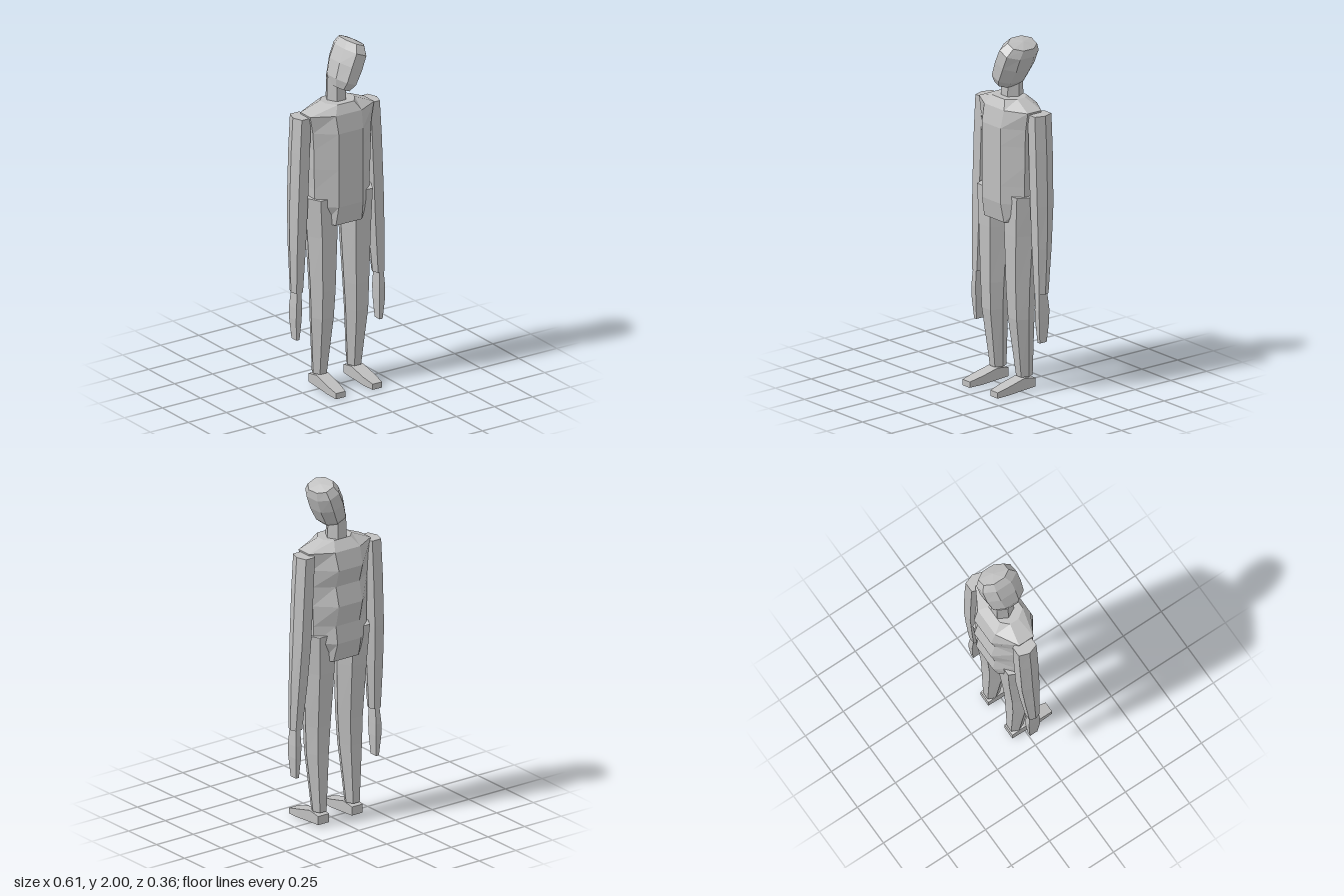
import * as THREE from 'three';

const grey = new THREE.MeshStandardMaterial({ color: 0xc0c0c0, flatShading: true });
grey.name = 'light grey';

// Skin a stack of equal-sized rings and close both ends
function loft(name, rings, parent) {
  const n = rings[0].length;
  const pos = [];
  const tri = (...pts) => pts.forEach((p) => pos.push(...p));
  const middle = (ring) => [0, 1, 2].map((k) => ring.reduce((s, p) => s + p[k], 0) / n);
  const first = rings[0], last = rings[rings.length - 1];
  for (let j = 0; j < n; j++) {
    const k = (j + 1) % n;
    for (let i = 0; i < rings.length - 1; i++) {
      const a = rings[i], b = rings[i + 1];
      tri(a[j], a[k], b[k]);
      tri(a[j], b[k], b[j]);
    }
    tri(middle(first), first[k], first[j]);
    tri(middle(last), last[j], last[k]);
  }
  const geometry = new THREE.BufferGeometry();
  geometry.setAttribute('position', new THREE.Float32BufferAttribute(pos, 3));
  geometry.computeVertexNormals();
  const mesh = new THREE.Mesh(geometry, grey);
  mesh.name = name;
  parent.add(mesh);
  return mesh;
}

// Six-sided level ring: flat front and back, pointed sides
function hexRing(y, cx, hx, zf, zb, f = 0.5) {
  const m = (zf + zb) / 2;
  return [[cx - f * hx, y, zf], [cx + f * hx, y, zf], [cx + hx, y, m],
    [cx + f * hx, y, zb], [cx - f * hx, y, zb], [cx - hx, y, m]];
}

// Eight-sided level ring: sx, sf, sb place the side edges, w is the half width of front and back
function octRing(y, sx, w, zf, zb, sf, sb) {
  return [[-w, y, zf], [w, y, zf], [sx, y, sf], [sx, y, sb],
    [w, y, zb], [-w, y, zb], [-sx, y, sb], [-sx, y, sf]];
}

// Four-sided level ring
const boxRing = (y, cx, hx, zf, zb) =>
  [[cx - hx, y, zf], [cx + hx, y, zf], [cx + hx, y, zb], [cx - hx, y, zb]];

// Upright rectangular ring across the foot
const footRing = (z, cx, hx, bottom, top) =>
  [[cx + hx, bottom, z], [cx + hx, top, z], [cx - hx, top, z], [cx - hx, bottom, z]];

export function createModel() {
  const figure = new THREE.Group();
  figure.name = 'figure';

  // Torso, from hips to collar
  loft('torso', [
    [0.97, 0.12, 0.085, 0.08, -0.135],
    [1.08, 0.18, 0.08, 0.1, -0.165],
    [1.18, 0.18, 0.08, 0.1, -0.15],
    [1.3, 0.186, 0.08, 0.1, -0.178],
    [1.41, 0.186, 0.08, 0.1, -0.15],
    [1.51, 0.192, 0.08, 0.1, -0.178],
    [1.61, 0.21, 0.085, 0.08, -0.15],
  ].map((r) => octRing(...r, 0.015, -0.08))
    .concat([octRing(1.66, 0.095, 0.055, 0.05, -0.1, -0.005, -0.06)]), figure);

  // Neck
  loft('neck', [hexRing(1.64, 0, 0.06, 0.01, -0.1), hexRing(1.79, 0, 0.055, 0.005, -0.1)], figure);

  // Head, leaning to its left
  const head = loft('head', [
    [-0.135, 0.045, 0.06, -0.075],
    [-0.09, 0.07, 0.085, -0.115],
    [0, 0.08, 0.087, -0.135],
    [0.08, 0.076, 0.083, -0.14],
    [0.125, 0.06, 0.045, -0.12],
    [0.135, 0.004, -0.036, -0.044],
  ].map(([y, hx, zf, zb]) => {
    const m = (zf + zb) / 2, d = (zf - zb) * 0.22;
    return octRing(y, hx, hx * 0.45, zf, zb, m + d, m - d);
  }), figure);
  head.position.set(0.05, 1.86, 0);
  head.rotation.z = -0.4;

  for (const [side, s] of [['left', 1], ['right', -1]]) {
    // Leg
    loft(side + 'Leg', [
      [0.08, 0.113, 0.04, 0, -0.08],
      [0.42, 0.113, 0.068, 0.045, -0.08],
      [0.58, 0.11, 0.076, 0.052, -0.085],
      [0.9, 0.11, 0.09, 0.058, -0.11],
      [1.125, 0.115, 0.102, 0.06, -0.125],
    ].map(([y, cx, ...r]) => hexRing(y, s * cx, ...r, 0.55)), figure);

    // Foot, from heel to toe
    loft(side + 'Foot', [
      [-0.085, 0.115, 0.037, 0.015, 0.065],
      [-0.01, 0.115, 0.038, 0.011, 0.078],
      [0.1, 0.117, 0.039, 0.004, 0.052],
      [0.178, 0.12, 0.031, 0, 0.033],
    ].map(([z, cx, ...r]) => footRing(z, s * cx, ...r)), figure);

    // Arm, from wrist to shoulder
    loft(side + 'Arm', [
      [0.59, 0.268, 0.035, 0, -0.066],
      [0.85, 0.258, 0.047, 0.003, -0.09],
      [1.09, 0.249, 0.051, 0.005, -0.108],
      [1.4, 0.236, 0.052, 0.005, -0.113],
      [1.6, 0.226, 0.05, 0.003, -0.113],
    ].map(([y, cx, ...r]) => hexRing(y, s * cx, ...r, 0.6)), figure);

    // Hand
    loft(side + 'Hand', [
      [0.31, 0.273, 0.01, -0.01, -0.058],
      [0.43, 0.274, 0.018, 0, -0.068],
      [0.5, 0.273, 0.018, 0.003, -0.07],
      [0.6, 0.27, 0.014, -0.003, -0.06],
    ].map(([y, cx, ...r]) => boxRing(y, s * cx, ...r)), figure);
  }
  return figure;
}
